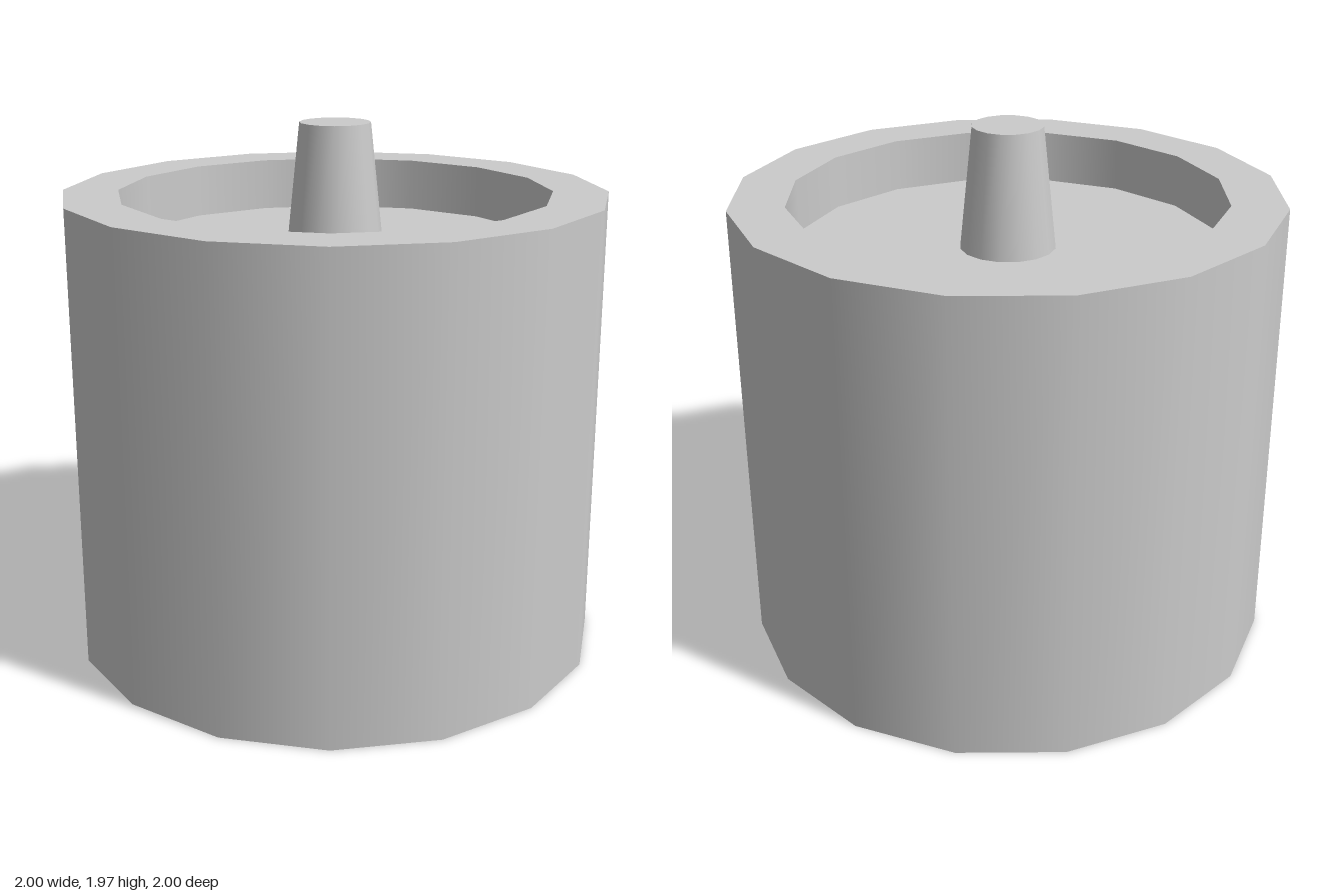
import * as THREE from 'three';

const SIDES = 16;
const RIM_Y = 1.72, FLOOR_Y = 1.52, PEG_Y = 1.97;
const BODY_R = 1, RECESS_R = 0.797, PEG_BASE_R = 0.177, PEG_TOP_R = 0.13;

export function createModel() {
  const group = new THREE.Group();
  const material = new THREE.MeshStandardMaterial({ color: 0xcccccc, side: THREE.DoubleSide });

  const add = (name, geometry, y) => {
    const mesh = new THREE.Mesh(geometry, material);
    mesh.name = name;
    mesh.position.y = y;
    group.add(mesh);
  };

  // Open, smooth-shaded wall between two heights
  const wall = (name, topR, bottomR, y0, y1) =>
    add(name, new THREE.CylinderGeometry(topR, bottomR, y1 - y0, SIDES, 1, true), (y0 + y1) / 2);

  // Flat horizontal ring facing up
  const ring = (name, innerR, outerR, y) =>
    add(name, new THREE.RingGeometry(innerR, outerR, SIDES).rotateX(-Math.PI / 2), y);

  // Thin shell, open underneath
  wall('outerWall', BODY_R, BODY_R, 0, RIM_Y);
  ring('rim', RECESS_R, BODY_R, RIM_Y);

  // Shallow recess in the top
  wall('recessWall', RECESS_R, RECESS_R, FLOOR_Y, RIM_Y);
  ring('recessFloor', PEG_BASE_R, RECESS_R, FLOOR_Y);

  // Tapered central peg
  wall('pegWall', PEG_TOP_R, PEG_BASE_R, FLOOR_Y, PEG_Y);
  add('pegTop', new THREE.CircleGeometry(PEG_TOP_R, SIDES).rotateX(-Math.PI / 2), PEG_Y);

  return group;
}
